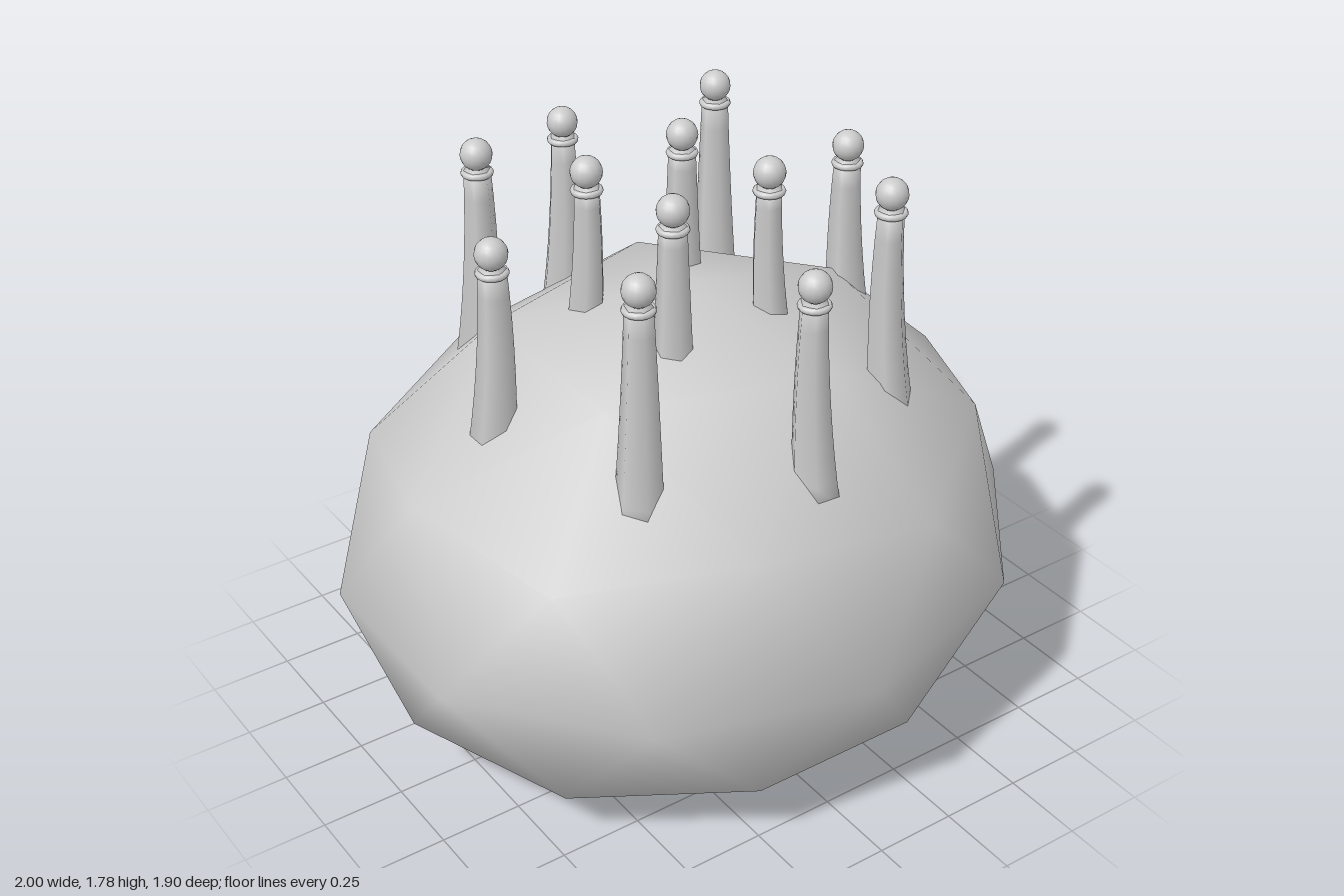
import * as THREE from 'three';
import { mergeVertices } from 'three/addons/utils/BufferGeometryUtils.js';

const grey = new THREE.MeshStandardMaterial({ color: 0xcccccc });

function add(parent, name, geometry) {
  const mesh = new THREE.Mesh(geometry, grey);
  mesh.name = name;
  parent.add(mesh);
  return mesh;
}

// Body: coarse icosphere standing on a vertex, squashed, with a flat underside
function bodyGeometry() {
  let geo = new THREE.IcosahedronGeometry(1, 1);
  geo.deleteAttribute('uv');
  geo.deleteAttribute('normal');
  geo.rotateZ(-Math.atan(2 / (1 + Math.sqrt(5))));
  // [height on unit sphere, height in the model] for each ring of vertices
  const rings = [[1, 1.39], [0.851, 1.265], [0.526, 0.97], [0.447, 0.905], [0, 0.543],
    [-0.447, 0.23], [-0.526, 0.18], [-0.851, 0], [-1, 0]];
  const p = geo.attributes.position;
  for (let i = 0; i < p.count; i++) {
    const y = p.getY(i);
    const ring = rings.reduce((a, b) => (Math.abs(b[0] - y) < Math.abs(a[0] - y) ? b : a));
    p.setXYZ(i, p.getX(i) * 1.051, ring[1], p.getZ(i) * 0.948);
  }
  geo = mergeVertices(geo, 1e-3);
  geo.computeVertexNormals();
  return geo;
}

// Stalk: six-sided tapered tube whose foot curves outward (+z), origin at the ball centre
function stalkGeometry(length, footRadius, lean) {
  const steps = 8, top = -0.045, profile = [];
  for (let i = 0; i <= steps; i++) {
    const t = i / steps;
    const r = THREE.MathUtils.lerp(footRadius, 0.039, Math.pow(t, 0.8));
    profile.push(new THREE.Vector2(r, -length + (length + top) * t));
  }
  profile.unshift(new THREE.Vector2(0, -length));
  profile.push(new THREE.Vector2(0, top));
  const geo = new THREE.LatheGeometry(profile, 6, Math.PI / 6);
  const p = geo.attributes.position;
  for (let i = 0; i < p.count; i++) {
    const t = (p.getY(i) + length) / (length + top);
    p.setZ(i, p.getZ(i) + lean * ((1 - t) ** 2 - 0.5 * t * (1 - t)));
  }
  return geo;
}

function addTentacle(parent, [x, y, z], footY, footRadius, lean) {
  const tentacle = new THREE.Group();
  tentacle.name = 'tentacle';
  tentacle.position.set(x, y, z);
  tentacle.rotation.y = Math.atan2(x, z);
  add(tentacle, 'stalk', stalkGeometry(y - footY, footRadius, lean));
  const collar = add(tentacle, 'collar', new THREE.TorusGeometry(0.037, 0.01, 8, 16));
  collar.rotation.x = Math.PI / 2;
  collar.position.y = -0.055;
  add(tentacle, 'ballTip', new THREE.SphereGeometry(0.046, 16, 12));
  parent.add(tentacle);
}

export function createModel() {
  const model = new THREE.Group();
  model.name = 'tentacledCreature';
  add(model, 'body', bodyGeometry());

  // Ball centres of the outer and inner circles of tentacles
  const outer = [[0.59, 1.655, 0], [0.39, 1.73, 0.435], [0, 1.645, 0.605], [-0.435, 1.695, 0.44],
    [-0.605, 1.66, 0], [-0.4, 1.73, -0.42], [0, 1.655, -0.61], [0.425, 1.73, -0.43]];
  const inner = [[0.145, 1.73, -0.2], [0.2, 1.73, 0.14], [-0.15, 1.73, 0.18], [-0.21, 1.73, -0.15]];
  outer.forEach((tip) => addTentacle(model, tip, 1.0, 0.074, 0.035));
  inner.forEach((tip) => addTentacle(model, tip, 1.25, 0.06, 0.015));
  return model;
}
